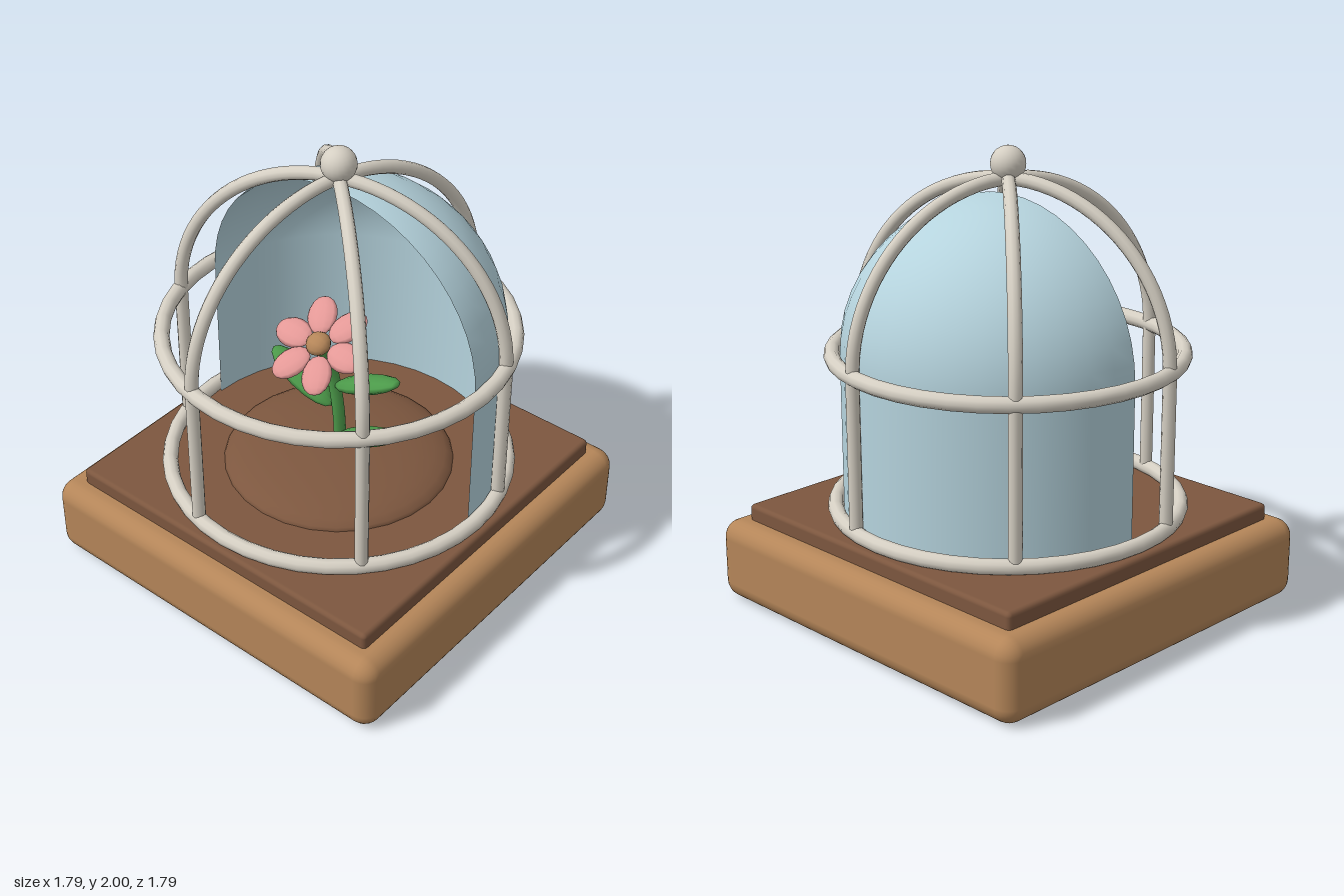
import * as THREE from 'three';
import { RoundedBoxGeometry } from 'three/addons/geometries/RoundedBoxGeometry.js';

const material = (name, color, side = THREE.FrontSide) => {
  const m = new THREE.MeshStandardMaterial({ color, side });
  m.name = name;
  return m;
};

export function createModel() {
  const wood = material('wood', 0xb58659);
  const soil = material('soil', 0x7d573f);
  const metal = material('pale metal', 0xd5cfc3);
  const glass = material('blue glass', 0xb5d3dd, THREE.DoubleSide);
  const green = material('leaf green', 0x4c9a4a);
  const pink = material('petal pink', 0xe39896);

  const root = new THREE.Group();
  root.name = 'flowerCage';
  const add = (name, geometry, mat, parent = root) => {
    const mesh = new THREE.Mesh(geometry, mat);
    mesh.name = name;
    parent.add(mesh);
    return mesh;
  };
  const V = (x, y, z) => new THREE.Vector3(x, y, z);

  // Base, soil bed and mound
  add('base', new RoundedBoxGeometry(1.79, 0.36, 1.79, 3, 0.08), wood).position.y = 0.18;
  add('soilBed', new RoundedBoxGeometry(1.59, 0.12, 1.59, 2, 0.02), soil).position.y = 0.37;
  const mound = add('mound', new THREE.SphereGeometry(0.51, 28, 8, 0, Math.PI * 2, 0, Math.PI / 2), soil);
  mound.scale.y = 0.2;
  mound.position.y = 0.425;

  // Cage: two rings, six bent bars and a ball on top
  const cage = new THREE.Group();
  cage.name = 'cage';
  root.add(cage);
  const waist = 1.13, radius = 0.74;
  for (const [name, y] of [['lowerRing', 0.455], ['upperRing', waist]]) {
    const ring = add(name, new THREE.TorusGeometry(0.744, 0.034, 10, 40), metal, cage);
    ring.rotation.x = Math.PI / 2;
    ring.position.y = y;
  }
  const path = new THREE.CurvePath();
  path.add(new THREE.LineCurve3(V(radius, 0.455, 0), V(radius, waist, 0)));
  const arc = [];
  for (let i = 0; i <= 12; i++) {
    const a = (i / 12) * Math.PI / 2;
    arc.push(V(radius * Math.cos(a), waist + 0.735 * Math.sin(a), 0));
  }
  path.add(new THREE.CatmullRomCurve3(arc));
  const barGeometry = new THREE.TubeGeometry(path, 36, 0.029, 10);
  for (let i = 0; i < 6; i++) {
    add('bar', barGeometry, metal, cage).rotation.y = -(0.75 + i * Math.PI / 3);
  }
  add('finial', new THREE.SphereGeometry(0.075, 20, 14), metal, cage).position.y = 1.925;

  // Half-round glass at the back, closed by a half dome
  const profile = [new THREE.Vector2(0.71, 0.43)];
  for (let i = 0; i <= 12; i++) {
    const a = (i / 12) * Math.PI / 2;
    profile.push(new THREE.Vector2(0.71 * Math.cos(a), waist + 0.67 * Math.sin(a)));
  }
  add('backGlass', new THREE.LatheGeometry(profile, 20, Math.PI / 2, Math.PI), glass);

  // Flower stem and leaves
  const plant = new THREE.Group();
  plant.name = 'flower';
  root.add(plant);
  const stem = new THREE.CatmullRomCurve3([
    V(0.01, 0.48, 0), V(0.015, 0.7, 0.02), V(-0.005, 0.92, 0.04), V(-0.01, 1.09, 0.1),
  ]);
  add('stem', new THREE.TubeGeometry(stem, 16, 0.027, 8), green, plant);
  const blob = new THREE.SphereGeometry(1, 10, 8);
  blob.rotateZ(Math.PI / 2);
  for (const [side, y] of [[1, 0.645], [-1, 0.8], [1, 0.93]]) {
    const leaf = add('leaf', blob, green, plant);
    leaf.scale.set(0.185, 0.036, 0.072);
    leaf.position.set(side * 0.18, y, 0.03);
    leaf.rotation.z = side * 0.45;
  }

  // Blossom facing up and forward; its local z is the facing direction
  const blossom = new THREE.Group();
  blossom.name = 'blossom';
  blossom.position.set(0, 1.105, 0.125);
  blossom.rotation.x = -1.0;
  plant.add(blossom);
  for (let i = 0; i < 6; i++) {
    const a = i * Math.PI / 3;
    const petal = add('petal', blob, pink, blossom);
    petal.scale.set(0.09, 0.068, 0.026);
    petal.position.set(0.14 * Math.cos(a), 0.14 * Math.sin(a), 0);
    petal.rotation.z = a;
  }
  const heart = add('blossomHeart', blob, wood, blossom);
  heart.scale.set(0.055, 0.055, 0.04);
  heart.position.z = 0.015;

  return root;
}
